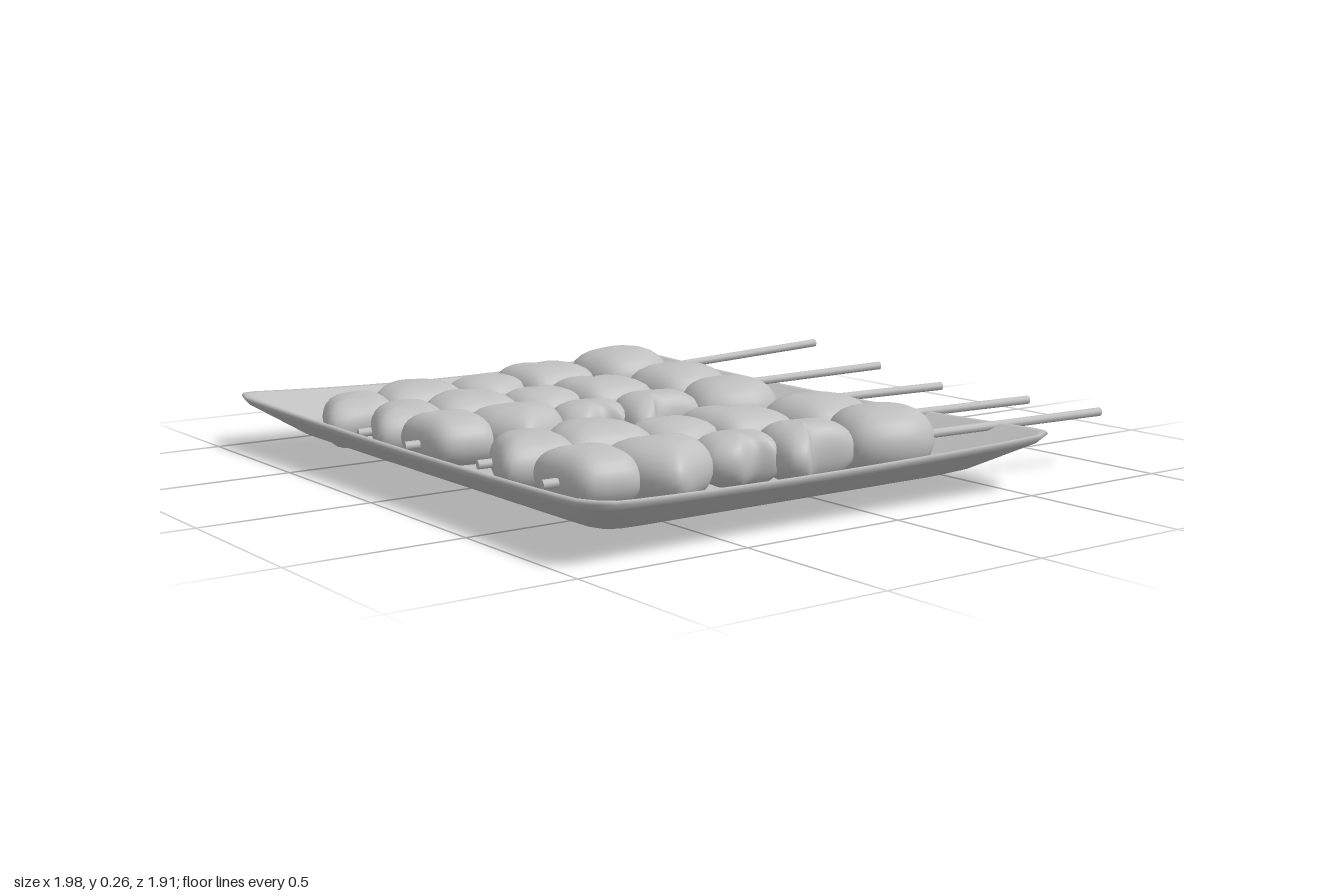
import * as THREE from 'three';

// Skin a stack of closed rings (each clockwise from above) with smooth normals.
function loft(rings) {
  const n = rings[0].length, pos = [], idx = [];
  rings.forEach(r => r.forEach(p => pos.push(...p)));
  for (let j = 0; j < rings.length - 1; j++) {
    for (let i = 0; i < n; i++) {
      const a = j * n + i, b = j * n + (i + 1) % n, c = a + n, d = b + n;
      idx.push(a, c, b, b, c, d);
    }
  }
  const g = new THREE.BufferGeometry();
  g.setAttribute('position', new THREE.Float32BufferAttribute(pos, 3));
  g.setIndex(idx);
  g.computeVertexNormals();
  return g;
}

// Rounded rectangle ring whose sides bow inward and dip between the corners.
function dishRing([hx, hz, y, sag]) {
  const ring = [], n = 96, power = 0.1;
  for (let i = 0; i < n; i++) {
    const side = Math.floor(i / 24), t = ((i % 24) / 12) - 1;
    let [u, v] = [[t, -1], [1, t], [-t, 1], [-1, -t]][side];
    // ease the corners
    const round = 1 - power * Math.pow(Math.abs(t), 24) * 0.3;
    const mid = 1 - t * t;
    const bow = 1 - sag * mid * (side === 0 ? 0.3 : 1.4);
    if (side % 2 === 0) v *= bow; else u *= bow;
    ring.push([u * hx * round, y - sag * mid, 0.17 + v * hz * round]);
  }
  return ring;
}

// Irregular rounded morsel: a plan outline domed above and below.
function morsel(outline, half) {
  const curve = new THREE.CatmullRomCurve3(
    outline.map(([x, z]) => new THREE.Vector3(x, 0, z)), true, 'centripetal');
  const pts = curve.getPoints(40).slice(0, 40);
  const c = pts.reduce((s, p) => s.add(p), new THREE.Vector3()).divideScalar(40);
  const rings = [], steps = 14;
  for (let j = 0; j <= steps; j++) {
    const a = (j / steps - 0.5) * Math.PI * 0.999;
    const s = 1.03 * Math.pow(Math.cos(a), 0.65);
    rings.push(pts.map(p => [c.x + (p.x - c.x) * s, half * Math.sin(a), c.z + (p.z - c.z) * s]));
  }
  return loft(rings);
}

// Plan outlines [across, along the stick] and half thickness
const MORSELS = [
  { half: 0.095, outline: [[-.115, .05], [-.108, -.068], [-.01, -.14], [.115, -.128], [.168, -.03], [.153, .088], [.033, .146], [-.07, .135]] },
  { half: 0.08, outline: [[-.06, .14], [.1, .115], [.133, .226], [.126, .33], [0, .385], [-.13, .378], [-.15, .33], [-.075, .275]] },
  { half: 0.072, outline: [[-.077, .38], [.077, .34], [.135, .46], [.094, .555], [-.045, .576], [-.09, .51], [-.064, .445]] },
  { half: 0.085, outline: [[-.054, .57], [.106, .555], [.13, .667], [.12, .805], [-.043, .82], [-.174, .726], [-.12, .64]] },
  { half: 0.08, outline: [[-.094, .8], [.02, .775], [.14, .8], [.15, .9], [.132, .995], [.018, .99], [-.092, .953], [-.11, .875]] }
];

// Each skewer: position of its first morsel, yaw, downward pitch, turned over or not
const SKEWERS = [
  { at: [-.60, .167, -.23], yaw: -.222, pitch: .09, flip: false },
  { at: [-.275, .153, -.23], yaw: -.225, pitch: .055, flip: false },
  { at: [.055, .146, -.20], yaw: -.207, pitch: .03, flip: true },
  { at: [.40, .145, -.23], yaw: -.207, pitch: .03, flip: false },
  { at: [.70, .147, -.23], yaw: -.18, pitch: .03, flip: true }
];

export function createModel() {
  const group = new THREE.Group();
  const grey = new THREE.MeshStandardMaterial({ color: 0xc0c0c0 });
  grey.name = 'plain grey';

  // Dish: underside, rim, inner wall and floor in one skin
  const dish = new THREE.Mesh(loft([
    [0.01, 0.01, 0.035, 0],
    [0.70, 0.54, 0.035, 0],
    [0.77, 0.60, 0.04, 0],
    [0.83, 0.65, 0.062, 0.002],
    [0.985, 0.772, 0.148, 0.018],
    [1.0, 0.783, 0.164, 0.02],
    [0.995, 0.78, 0.173, 0.02],
    [0.98, 0.765, 0.17, 0.02],
    [0.82, 0.63, 0.083, 0.002],
    [0.78, 0.595, 0.068, 0],
    [0.74, 0.56, 0.064, 0],
    [0.01, 0.01, 0.064, 0]
  ].map(dishRing)), grey);
  dish.name = 'dish';
  group.add(dish);

  // Skewers: shared stick and morsel shapes
  const morselShapes = MORSELS.map(m => morsel(m.outline, m.half));
  const stickShape = new THREE.CylinderGeometry(0.013, 0.013, 1.77, 10)
    .rotateX(Math.PI / 2).translate(0, 0, 0.145);
  SKEWERS.forEach(({ at, yaw, pitch, flip }, k) => {
    const skewer = new THREE.Group();
    skewer.name = `skewer${k + 1}`;
    const stick = new THREE.Mesh(stickShape, grey);
    stick.name = 'stick';
    skewer.add(stick);
    morselShapes.forEach((shape, i) => {
      const piece = new THREE.Mesh(shape, grey);
      piece.name = `morsel${i + 1}`;
      skewer.add(piece);
    });
    skewer.position.set(...at);
    skewer.rotation.set(pitch, yaw, flip ? Math.PI : 0, 'YXZ');
    group.add(skewer);
  });
  return group;
}
